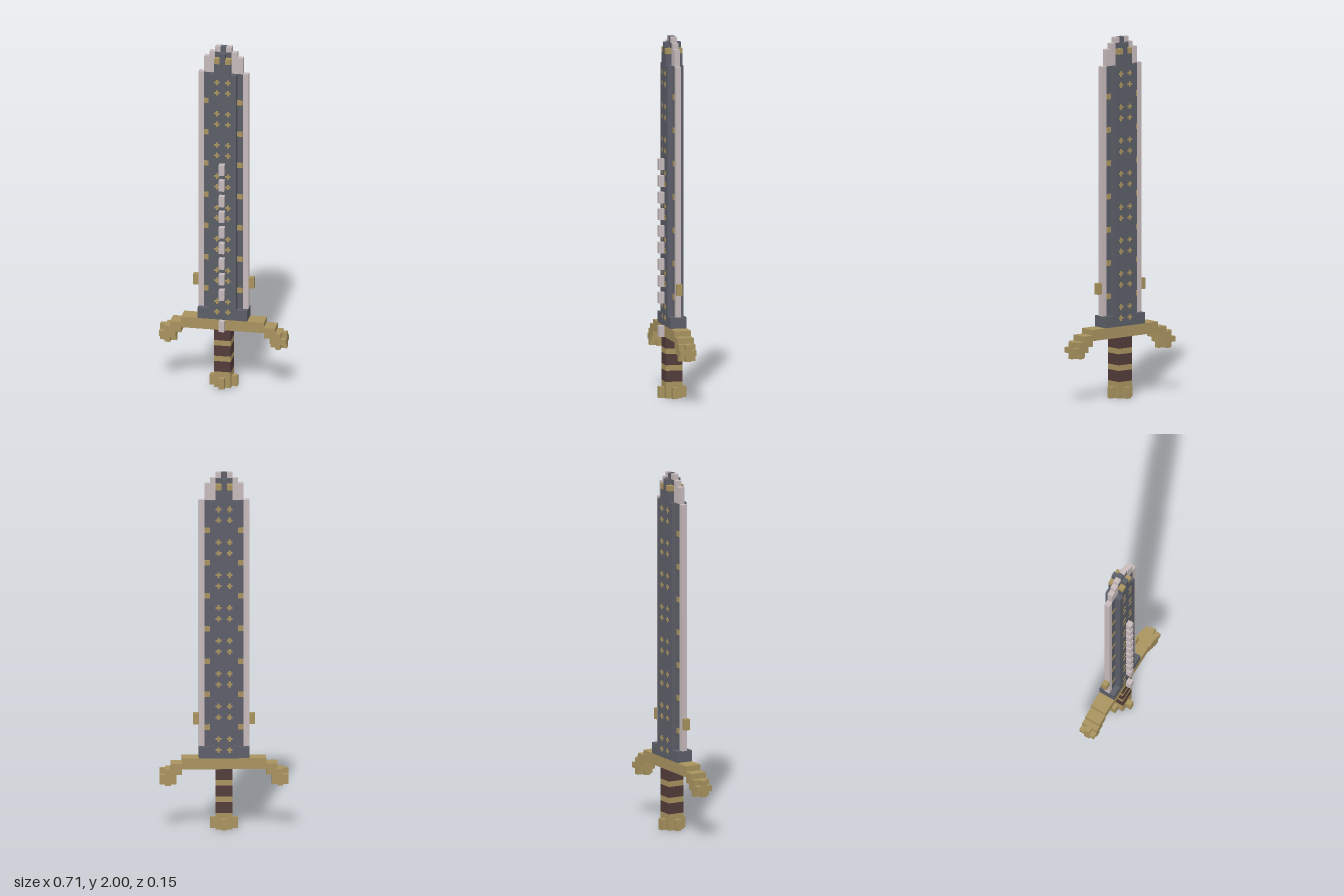
import * as THREE from 'three';

const U = 2 / 65; // edge of one cube

export function createModel() {
  const model = new THREE.Group();
  model.name = 'sword';
  const mat = (name, color) => {
    const m = new THREE.MeshStandardMaterial({ color });
    m.name = name;
    return m;
  };
  const steel = mat('dark steel', 0x5c5e68);
  const silver = mat('pale silver', 0xc6babb);
  const gold = mat('gold', 0xa8935f);
  const leather = mat('brown leather', 0x523c3a);

  // box given by its limits in cube units
  const box = (name, material, x0, x1, y0, y1, z0, z1) => {
    const g = new THREE.BoxGeometry((x1 - x0) * U, (y1 - y0) * U, (z1 - z0) * U);
    g.translate((x0 + x1) / 2 * U, (y0 + y1) / 2 * U, (z0 + z1) / 2 * U);
    const mesh = new THREE.Mesh(g, material);
    mesh.name = name;
    model.add(mesh);
  };
  // box centred on x and z
  const mid = (name, material, hx, y0, y1, hz) => box(name, material, -hx, hx, y0, y1, -hz, hz);
  // box centred on z, mirrored in x
  const pair = (name, material, x0, x1, y0, y1, hz) => {
    box(name, material, x0, x1, y0, y1, -hz, hz);
    box(name, material, -x1, -x0, y0, y1, -hz, hz);
  };

  // pommel with a stud on each side
  mid('pommel', gold, 1.5, 0, 3, 1.5);
  pair('pommelSideStud', gold, 1.5, 2.5, 0, 2, 0.5);
  box('pommelFrontStud', gold, -0.5, 0.5, 0, 2, 1.5, 2.5);
  box('pommelBackStud', gold, -0.5, 0.5, 0, 2, -2.5, -1.5);

  // grip, banded
  for (const y of [3, 6, 9]) mid('gripWrap', leather, 1.5, y, y + 2, 1.5);
  for (const y of [5, 8]) mid('gripBand', gold, 1.5, y, y + 1, 1.5);

  // guard stepping down to knobs with their corners cut away
  mid('guard', gold, 7.5, 11, 13, 1.5);
  pair('guardStep', gold, 7.5, 9.5, 10, 12, 1.5);
  pair('guardKnobWidth', gold, 8.5, 11.5, 9, 10, 1.5);
  pair('guardKnobHeight', gold, 9.5, 10.5, 8, 11, 1.5);
  pair('guardKnobDepth', gold, 8.5, 11.5, 8, 11, 0.5);
  box('guardStud', silver, -0.5, 0.5, 11, 13, 1.5, 2.5);

  // blade
  mid('bladeCollar', steel, 4.5, 13, 15, 1.5);
  mid('bladeCore', steel, 2.5, 15, 60, 1.5);
  pair('bladeFlank', steel, 2.5, 3.5, 15, 60, 0.5);
  pair('bladeEdge', silver, 3.5, 4.5, 15, 60, 0.5);
  pair('bladeHook', gold, 4.5, 5.5, 19, 21, 0.5);

  // stepped tip
  mid('tipBase', steel, 1.5, 60, 62, 1.5);
  mid('tipRidge', steel, 0.5, 62, 64, 1.5);
  pair('tipSlab', steel, 0.5, 1.5, 62, 64, 0.5);
  mid('tipPoint', steel, 0.5, 64, 65, 0.5);
  pair('tipEdgeTop', silver, 0.5, 1.5, 64, 65, 0.5);
  pair('tipEdgeMiddle', silver, 1.5, 2.5, 60, 64, 0.5);
  pair('tipEdgeLow', silver, 2.5, 3.5, 60, 63, 0.5);
  for (const x of [-1, 1]) {
    box('tipInlayFront', gold, x - 0.5, x + 0.5, 62, 63, 0.5, 1.5);
    box('tipInlayBack', gold, x - 0.5, x + 0.5, 62, 63, -1.5, -0.5);
  }

  // small gold crosses on both faces of the core
  for (let k = 0; k < 8; k++) {
    for (const y of [14.5 + 6 * k, 16.5 + 6 * k]) {
      for (const x of [-1, 1]) for (const z of [-1.5, 1.5]) {
        box('crossBar', gold, x - 0.5, x + 0.5, y - 0.18, y + 0.18, z - 0.06, z + 0.06);
        box('crossPost', gold, x - 0.18, x + 0.18, y - 0.5, y + 0.5, z - 0.06, z + 0.06);
      }
    }
  }

  // gold inlays along the flanks
  for (let k = 0; k < 7; k++) pair('flankInlay', gold, 2.5, 3.5, 18 + 6 * k, 19 + 6 * k, 0.56);

  // row of raised studs on the front
  for (let k = 0; k < 9; k++) box('ridgeStud', silver, -0.5, 0.5, 17 + 3 * k, 19 + 3 * k, 1.5, 2.5);

  return model;
}
